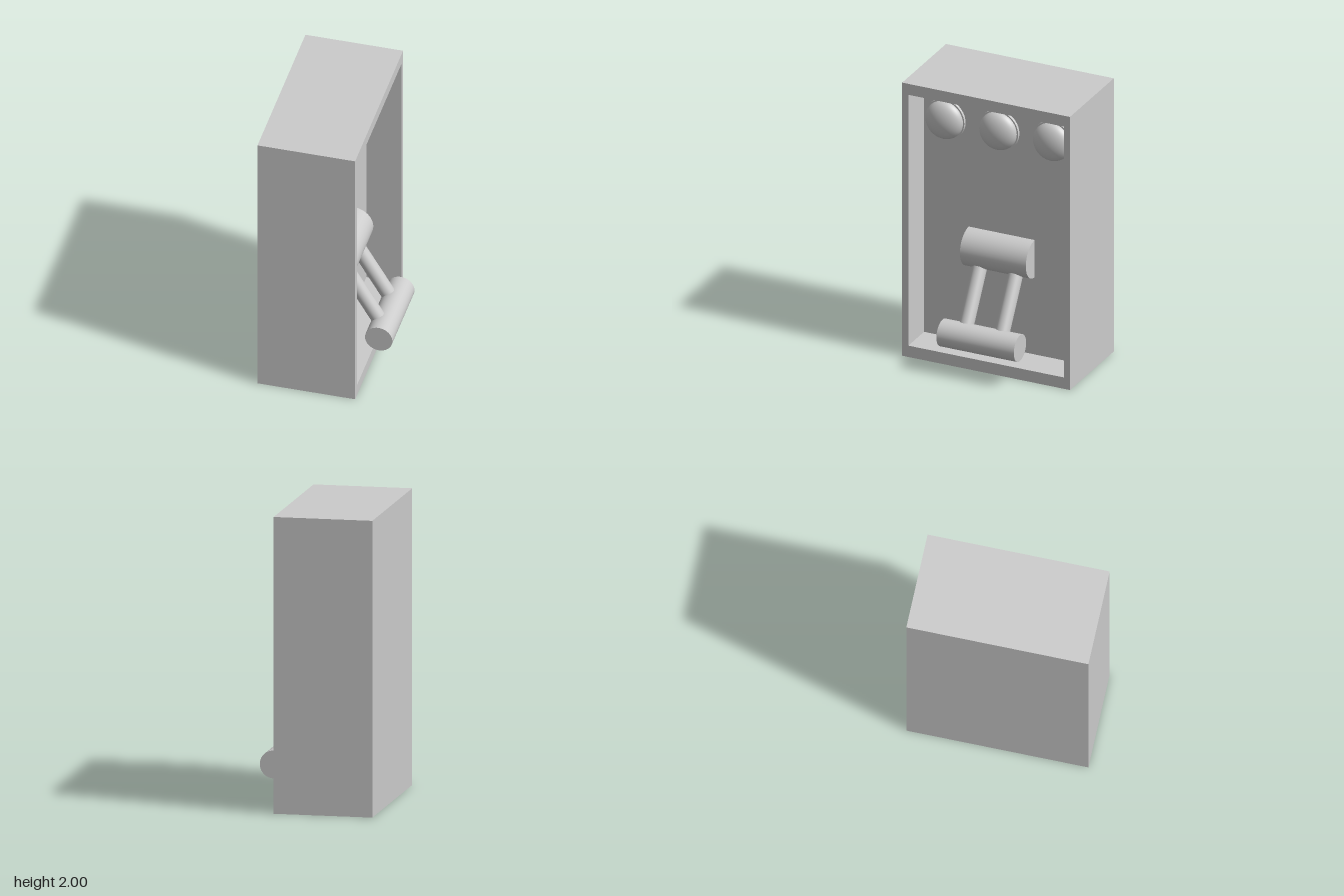
import * as THREE from 'three';

const WALL_X = 0.01;            // face of the recessed panel
const FRONT_X = 0.25;           // rim of the opening (faces +x)
const BACK_X = -0.42;
const HALF_Z = 0.6175;

export function createModel() {
  const model = new THREE.Group();
  model.name = 'wallUnit';
  const grey = new THREE.MeshStandardMaterial({ color: 0xcccccc });

  const add = (name, geometry, x = 0, y = 0, z = 0) => {
    const mesh = new THREE.Mesh(geometry, grey);
    mesh.name = name;
    mesh.position.set(x, y, z);
    model.add(mesh);
    return mesh;
  };

  // Cylinder lying along z
  const addRoller = (name, radius, length, x, y) =>
    add(name, new THREE.CylinderGeometry(radius, radius, length, 40).rotateX(Math.PI / 2), x, y, 0);

  // Solid back of the cabinet
  add('cabinetBack', new THREE.BoxGeometry(WALL_X - BACK_X, 2, HALF_Z * 2), (WALL_X + BACK_X) / 2, 1, 0);

  // Rim around the recess
  const rectangle = (target, w, y0, y1) => {
    target.moveTo(-w, y0);
    target.lineTo(w, y0);
    target.lineTo(w, y1);
    target.lineTo(-w, y1);
    target.closePath();
    return target;
  };
  const rim = rectangle(new THREE.Shape(), HALF_Z, 0, 2);
  rim.holes.push(rectangle(new THREE.Path(), 0.572, 0.083, 1.92));
  const rimGeometry = new THREE.ExtrudeGeometry(rim, { depth: FRONT_X - WALL_X, bevelEnabled: false });
  add('cabinetRim', rimGeometry.rotateY(Math.PI / 2), WALL_X, 0, 0);

  // Row of three domed lamps, each on a thin bezel
  for (const z of [0.412, 0.016, -0.38]) {
    const bezel = new THREE.CylinderGeometry(0.146, 0.146, 0.02, 40).rotateZ(-Math.PI / 2);
    add('lampBezel', bezel, WALL_X + 0.01, 1.677, z);
    const dome = new THREE.SphereGeometry(0.136, 40, 16, 0, Math.PI * 2, 0, Math.PI / 2);
    dome.scale(1, 0.55, 1).rotateZ(-Math.PI / 2);
    add('lampDome', dome, WALL_X + 0.02, 1.677, z);
  }

  // Pivot half sunk in the panel, and the grip in front of the opening
  addRoller('leverPivot', 0.136, 0.485, WALL_X, 0.785);
  addRoller('leverGrip', 0.094, 0.57, 0.323, 0.27);

  // Two slanted rods joining pivot and grip
  const top = new THREE.Vector3(0.005, 0.785, 0);
  const bottom = new THREE.Vector3(0.315, 0.27, 0);
  const along = top.clone().sub(bottom);
  for (const z of [0.132, -0.132]) {
    const rod = add('leverRod', new THREE.CylinderGeometry(0.05, 0.05, along.length(), 32));
    rod.position.addVectors(top, bottom).multiplyScalar(0.5).setZ(z);
    rod.quaternion.setFromUnitVectors(new THREE.Vector3(0, 1, 0), along.clone().normalize());
  }

  return model;
}
